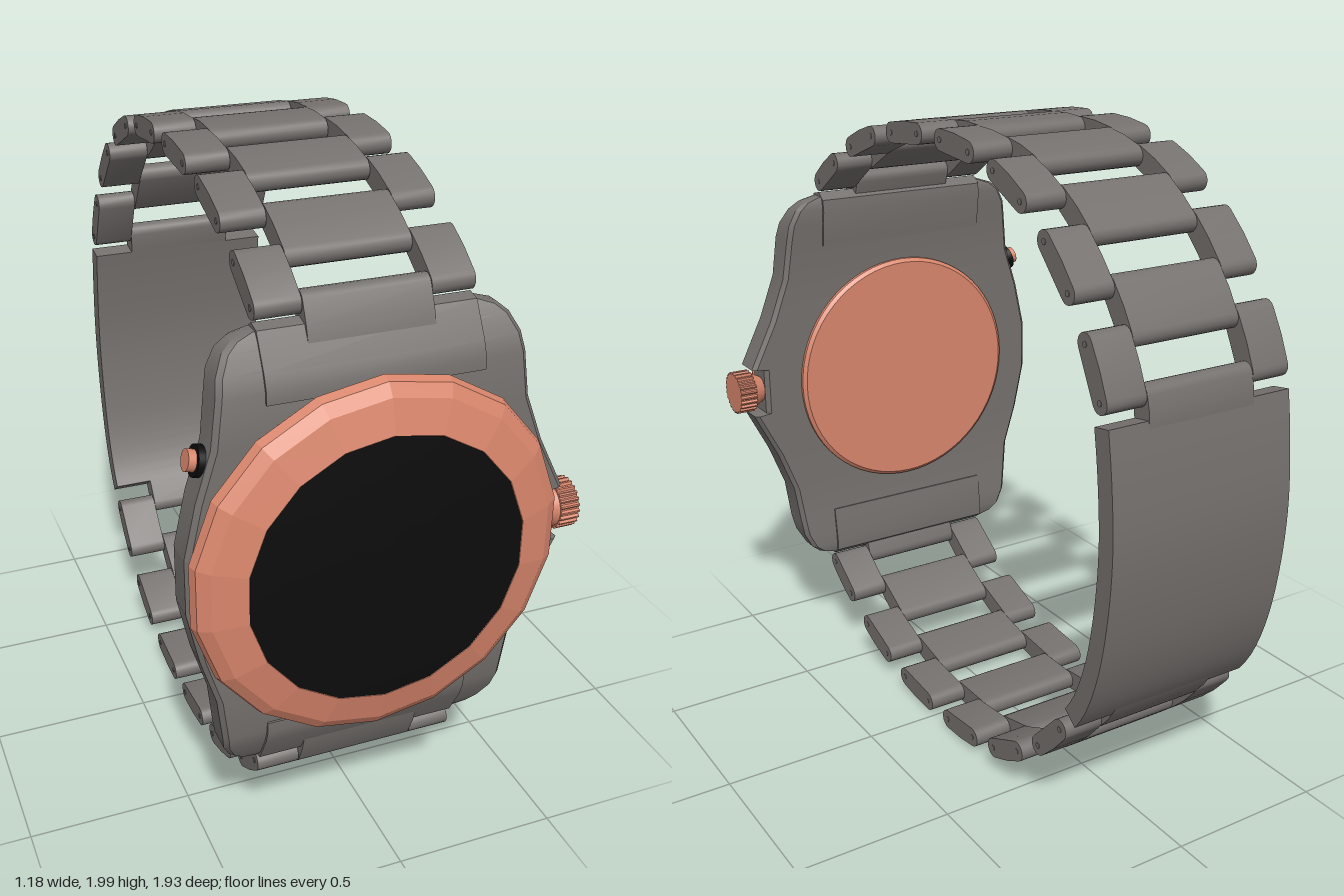
import * as THREE from 'three';
import { toCreasedNormals } from 'three/addons/utils/BufferGeometryUtils.js';

const CX = -0.05, CY = 1.005; // centre of the watch head
const steel = new THREE.MeshStandardMaterial({ color: 0x75716e });
const copper = new THREE.MeshStandardMaterial({ color: 0xd9866c });
const copperFlat = new THREE.MeshStandardMaterial({ color: 0xd9866c, flatShading: true });
const black = new THREE.MeshStandardMaterial({ color: 0x0c0c0c });
const flipY = ([z, y]) => [z, 2 * CY - y];

function add(parent, name, geometry, material) {
  const mesh = new THREE.Mesh(geometry, material);
  mesh.name = name;
  parent.add(mesh);
  return mesh;
}

// Extrude a [z, y] outline sideways from x0 to x1
function extrudeX(pts, x0, x1) {
  const shape = new THREE.Shape(pts.map(([z, y]) => new THREE.Vector2(-z, y)));
  const g = new THREE.ExtrudeGeometry(shape, { depth: x1 - x0, bevelEnabled: false });
  g.rotateY(Math.PI / 2).translate(x0, 0, 0);
  return toCreasedNormals(g, 0.6);
}

// Rounded link outline between two pins, slightly bulged outwards
function linkOutline(a, b, r = 0.032) {
  const len = Math.hypot(b[0] - a[0], b[1] - a[1]);
  const d = [(b[0] - a[0]) / len, (b[1] - a[1]) / len];
  let n = [-d[1], d[0]];
  if (n[0] * a[0] + n[1] * (a[1] - CY) < 0) n = [-n[0], -n[1]];
  const pts = [];
  const arc = (c, t0) => {
    for (let i = 0; i <= 8; i++) {
      const t = t0 + (Math.PI * i) / 8, u = Math.cos(t) * r, v = Math.sin(t) * r;
      pts.push([c[0] + n[0] * u + d[0] * v, c[1] + n[1] * u + d[1] * v]);
    }
  };
  arc(b, 0);
  arc(a, Math.PI);
  const h = r + 0.004;
  pts.push([(a[0] + b[0]) / 2 + n[0] * h, (a[1] + b[1]) / 2 + n[1] * h]);
  return pts;
}

// Band of even thickness along part of a curve
function bandOutline(curve, t0, t1, half) {
  const outer = [], inner = [];
  for (let i = 0; i <= 24; i++) {
    const t = t0 + ((t1 - t0) * i) / 24;
    const p = curve.getPointAt(t), d = curve.getTangentAt(t);
    outer.push([p.x + d.y * half, p.y - d.x * half]);
    inner.unshift([p.x - d.y * half, p.y + d.x * half]);
  }
  return outer.concat(inner);
}

// Case: chamfered cross-sections stacked from bottom to top
function caseGeometry() {
  // y, left half width, right half width, front z, back z
  const top = [
    [1.085, 0.535, 0.545, 0.845, 0.73], [1.09, 0.535, 0.59, 0.845, 0.73],
    [1.25, 0.5, 0.51, 0.845, 0.73], [1.395, 0.455, 0.455, 0.844, 0.73],
    [1.53, 0.438, 0.438, 0.838, 0.718], [1.58, 0.43, 0.43, 0.82, 0.712],
    [1.63, 0.405, 0.405, 0.793, 0.708], [1.655, 0.375, 0.375, 0.778, 0.711],
    [1.67, 0.33, 0.33, 0.765, 0.717],
  ];
  const rows = top.map(([y, ...rest]) => [2 * CY - y, ...rest]).reverse().concat(top);
  const pos = [], index = [], c = 0.014;
  for (const [y, l, r, f, b] of rows) {
    const x0 = CX - l, x1 = CX + r;
    for (const [x, z] of [[x0 + c, f], [x1 - c, f], [x1, f - c], [x1, b + c],
      [x1 - c, b], [x0 + c, b], [x0, b + c], [x0, f - c]]) pos.push(x, y, z);
  }
  const last = (rows.length - 1) * 8;
  for (let i = 0; i < last; i += 8)
    for (let j = 0; j < 8; j++) {
      const k = (j + 1) % 8;
      index.push(i + j, i + k, i + 8 + k, i + j, i + 8 + k, i + 8 + j);
    }
  for (let j = 1; j < 7; j++) index.push(0, j + 1, j, last, last + j, last + j + 1);
  const g = new THREE.BufferGeometry();
  g.setAttribute('position', new THREE.Float32BufferAttribute(pos, 3));
  g.setIndex(index);
  return toCreasedNormals(g, 0.45);
}

// Revolved [radius, z] profile facing the front
function turned(profile, sides) {
  return new THREE.LatheGeometry(profile.map(([r, z]) => new THREE.Vector2(r, z)), sides)
    .rotateX(Math.PI / 2).translate(CX, CY, 0);
}

export function createModel() {
  const model = new THREE.Group();
  const head = new THREE.Group();
  head.name = 'watchHead';
  const bracelet = new THREE.Group();
  bracelet.name = 'bracelet';
  model.add(head, bracelet);

  add(head, 'case', caseGeometry(), steel);
  add(head, 'bezel', turned([[0.4, 0.84], [0.53, 0.85], [0.545, 0.873], [0.535, 0.9],
    [0.5, 0.925], [0.405, 0.95], [0.395, 0.945]], 18), copperFlat);
  add(head, 'dial', turned([[0.408, 0.949], [0.3, 0.958], [0.15, 0.964], [0, 0.966]], 18), black);
  add(head, 'caseBack', toCreasedNormals(
    turned([[0, 0.708], [0.4, 0.708], [0.412, 0.718], [0.412, 0.74]], 64), 0.4), copper);

  // Crown with a toothed rim
  const teeth = [];
  for (let i = 0; i < 96; i++) {
    const a = (i / 96) * Math.PI * 2, r = i % 4 < 2 ? 0.074 : 0.067;
    teeth.push([0.787 + Math.cos(a) * r, CY + Math.sin(a) * r]);
  }
  add(head, 'crown', extrudeX(teeth, 0.535, 0.594), copper);
  add(head, 'crownNeck', new THREE.CylinderGeometry(0.066, 0.042, 0.045, 32)
    .rotateZ(-Math.PI / 2).translate(0.515, CY, 0.787), copper);

  // Side button
  const button = new THREE.Group();
  button.name = 'sideButton';
  button.position.set(-0.515, 1.345, 0.782);
  button.rotation.z = Math.PI / 2 - 0.24;
  add(button, 'buttonCollar', new THREE.CylinderGeometry(0.044, 0.044, 0.045, 24), black);
  add(button, 'buttonCap', new THREE.CylinderGeometry(0.03, 0.03, 0.03, 24)
    .translate(0, 0.03, 0), copper);
  head.add(button);

  // Bracelet pins from the upper lug round to the clasp, as [z, y]
  const pins = [[0.73, 1.72], [0.61, 1.8], [0.48, 1.87], [0.335, 1.922], [0.2, 1.95],
    [0.04, 1.965], [-0.095, 1.965], [-0.25, 1.95], [-0.38, 1.918], [-0.515, 1.855],
    [-0.63, 1.77], [-0.74, 1.655], [-0.82, 1.54], [-0.89, 1.4]];
  const lowerPins = pins.slice(0, 12).map(flipY);
  const outerSpans = [[-0.36, -0.232], [0.132, 0.26]], centreSpan = [-0.23, 0.13];

  for (const run of [pins, lowerPins]) {
    run.forEach((p, i) => {
      add(bracelet, 'pin', new THREE.CylinderGeometry(0.009, 0.009, 0.624, 12)
        .rotateZ(Math.PI / 2).translate(CX, p[1], p[0]), steel);
      if (i === run.length - 1) return;
      const outline = linkOutline(p, run[i + 1]);
      if (i % 2) add(bracelet, 'centreLink', extrudeX(outline, ...centreSpan), steel);
      else for (const s of outerSpans) add(bracelet, 'outerLink', extrudeX(outline, ...s), steel);
    });
  }

  // End links that fill the lugs, with a tab to the first pin
  const endProfile = [[0.846, 1.5], [0.845, 1.535], [0.828, 1.58], [0.774, 1.675],
    [0.735, 1.684], [0.703, 1.66], [0.7, 1.62], [0.716, 1.5]];
  const tab = linkOutline([0.775, 1.6], [0.73, 1.72]);
  for (const side of [(p) => p, flipY]) {
    add(bracelet, 'endLink', extrudeX(endProfile.map(side), -0.36, 0.26), steel);
    add(bracelet, 'endLinkTab', extrudeX(tab.map(side), ...centreSpan), steel);
  }

  // Clasp: wide curved plate with a narrower tab at each end
  const curve = new THREE.CatmullRomCurve3([[-0.89, 1.4], [-0.92, 1.2], [-0.934, 1], [-0.92, 0.8],
    [-0.885, 0.62], [-0.83, 0.48], [-0.74, 0.355]].map(([z, y]) => new THREE.Vector3(z, y, 0)));
  add(bracelet, 'clasp', extrudeX(bandOutline(curve, 0.06, 0.925, 0.031), -0.36, 0.26), steel);
  for (const [t0, t1] of [[0, 0.08], [1, 0.9]]) {
    const a = curve.getPointAt(t0), b = curve.getPointAt(t1);
    add(bracelet, 'claspTab', extrudeX(linkOutline([a.x, a.y], [b.x, b.y], 0.031), ...centreSpan), steel);
  }
  return model;
}
